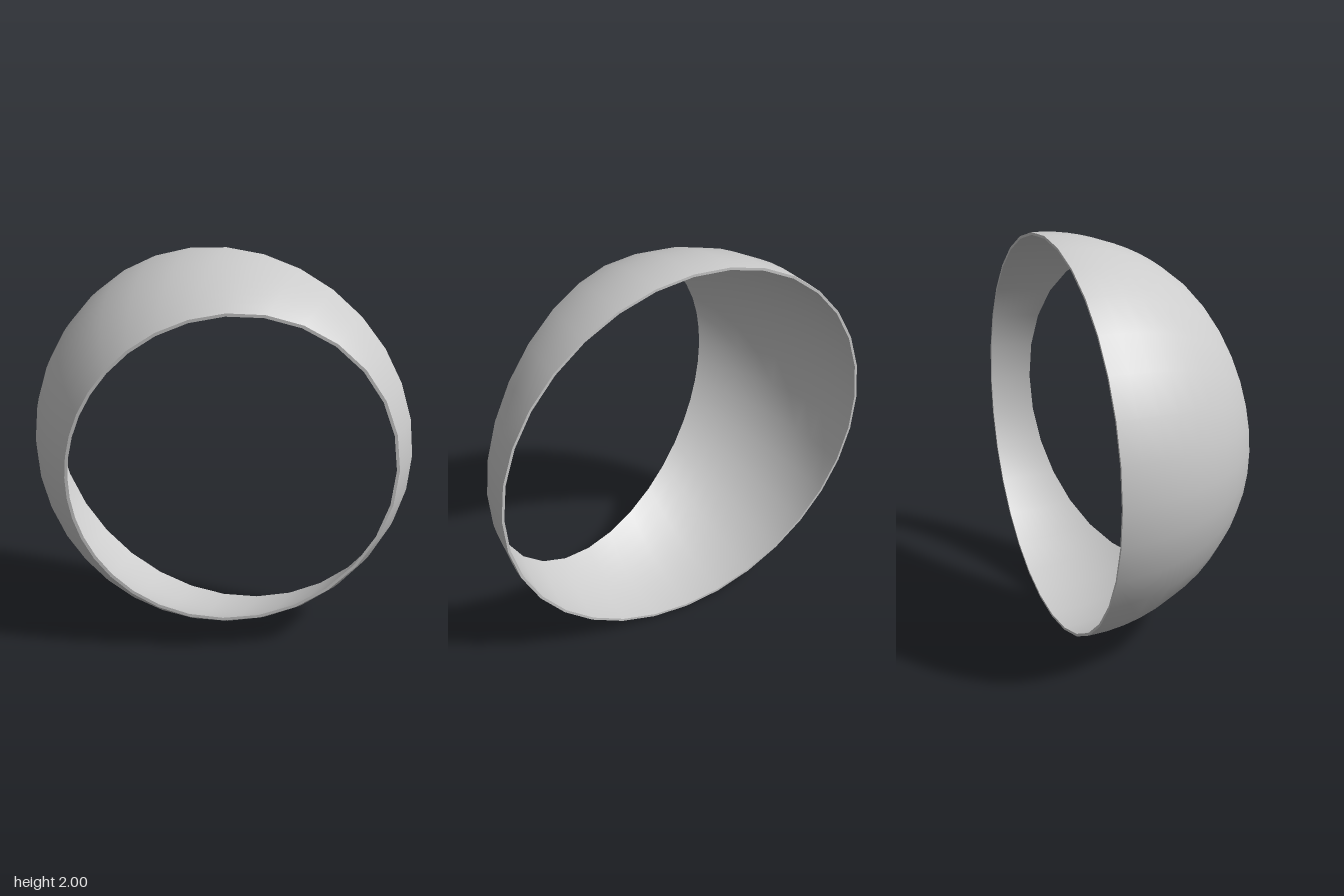
import * as THREE from 'three';

const SEGMENTS = 32, RINGS = 9;
const OUTER = 1, INNER = 0.987;
// Slanted plane that trims the front of the dome
const TILT = 0.378, DISTANCE = 0.555;
const cutNormal = new THREE.Vector3(Math.sin(TILT), 0, Math.cos(TILT));

// Angle from the +z pole at which a meridian meets the trimming plane
function cutAngle(theta, r) {
  const nx = cutNormal.x * Math.cos(theta), nz = cutNormal.z;
  return Math.atan2(nx, nz) + Math.acos(DISTANCE / (r * Math.hypot(nx, nz)));
}

// Point on the dome: v = 0 at the back edge, v = 1 at the slanted edge
function domePoint(theta, v, r) {
  const a = THREE.MathUtils.lerp(Math.PI / 2, cutAngle(theta, r), v);
  return new THREE.Vector3(
    r * Math.sin(a) * Math.cos(theta), r * Math.sin(a) * Math.sin(theta), r * Math.cos(a));
}

// Closed band swept around z from a point rule and a normal rule
function band(name, rows, point, normal, direction = 1) {
  const positions = [], normals = [], index = [];
  for (let j = 0; j <= rows; j++) {
    for (let i = 0; i <= SEGMENTS; i++) {
      const p = point(direction * i / SEGMENTS * Math.PI * 2, j / rows);
      positions.push(...p.toArray());
      normals.push(...normal(p).toArray());
      if (i < SEGMENTS && j < rows) {
        const a = j * (SEGMENTS + 1) + i, b = a + SEGMENTS + 1;
        index.push(a, a + 1, b + 1, a, b + 1, b);
      }
    }
  }
  const geometry = new THREE.BufferGeometry();
  geometry.setAttribute('position', new THREE.Float32BufferAttribute(positions, 3));
  geometry.setAttribute('normal', new THREE.Float32BufferAttribute(normals, 3));
  geometry.setIndex(index);
  const mesh = new THREE.Mesh(geometry, new THREE.MeshStandardMaterial({ color: 0xcccccc }));
  mesh.name = name;
  return mesh;
}

export function createModel() {
  const model = new THREE.Group();
  model.name = 'slantedDomeRing';
  const back = new THREE.Vector3(0, 0, -1);

  model.add(
    // Curved walls
    band('outerShell', RINGS, (t, v) => domePoint(t, v, OUTER), p => p.clone().normalize()),
    band('innerShell', RINGS, (t, v) => domePoint(t, v, INNER), p => p.clone().normalize().negate(), -1),
    // Thin flat edges joining the walls
    band('slantedRim', 1, (t, v) => domePoint(t, 1, OUTER).lerp(domePoint(t, 1, INNER), v), () => cutNormal),
    band('backRim', 1, (t, v) => domePoint(t, 0, INNER).lerp(domePoint(t, 0, OUTER), v), () => back)
  );
  model.position.set(0, 1, -0.41);

  const root = new THREE.Group();
  root.add(model);
  return root;
}
